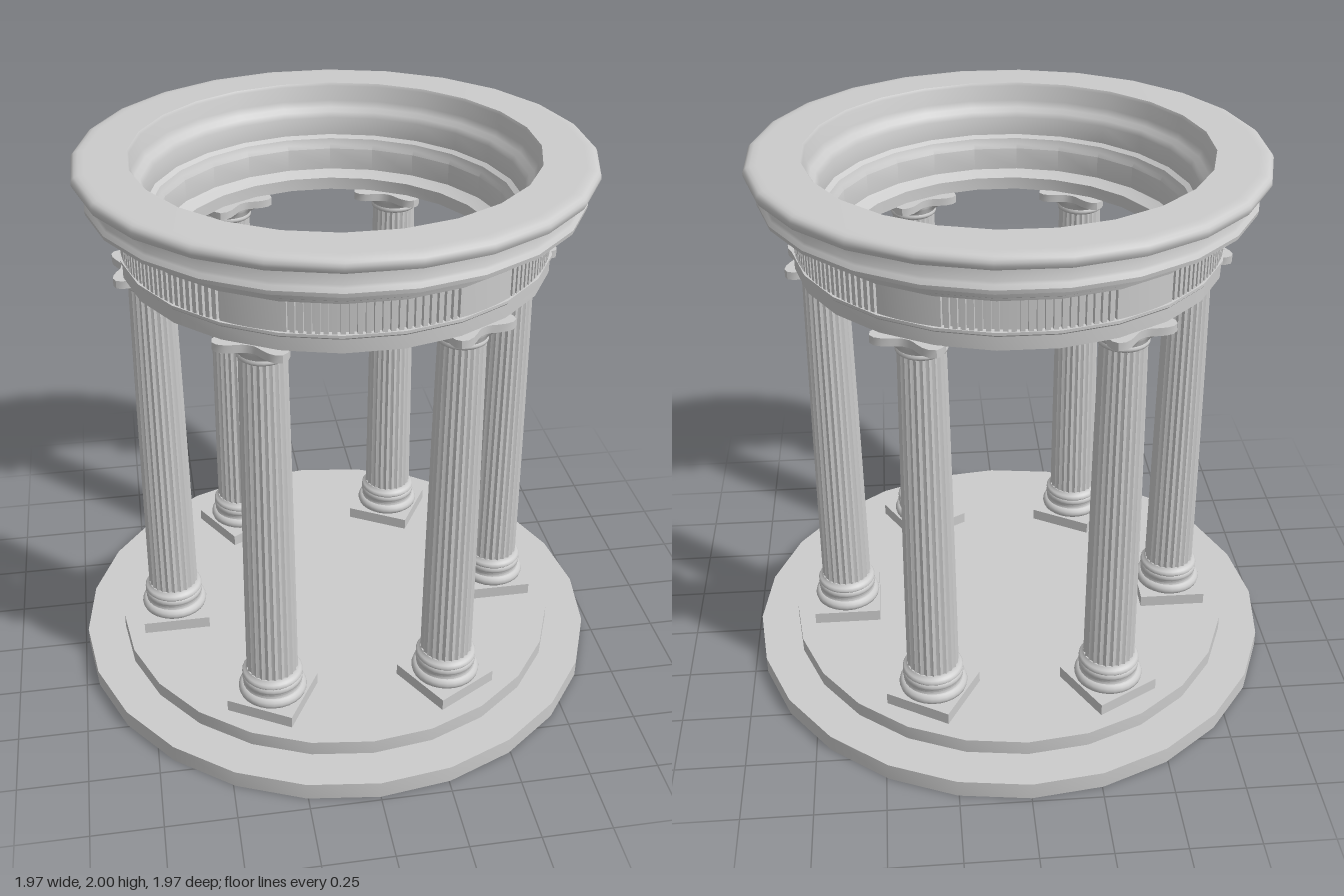
import * as THREE from 'three';
import { toCreasedNormals } from 'three/addons/utils/BufferGeometryUtils.js';

const SIDES = 24;
const stone = new THREE.MeshStandardMaterial({ color: 0xcccccc });

function part(name, geometry, crease = 0.5) {
  const mesh = new THREE.Mesh(toCreasedNormals(geometry, crease), stone);
  mesh.name = name;
  return mesh;
}

// Revolve [radius, height] pairs around the y axis
function lathe(points, sides, start = 0) {
  return new THREE.LatheGeometry(points.map(([r, y]) => new THREE.Vector2(r, y)), sides, start);
}

// Cylinder whose radius follows radiusAt(angle, t), t running 0 to 1 from y0 to y1
function shapedCylinder(y0, y1, sides, rows, radiusAt) {
  const g = new THREE.CylinderGeometry(1, 1, 1, sides, rows);
  const p = g.attributes.position;
  for (let i = 0; i < p.count; i++) {
    const x = p.getX(i), z = p.getZ(i), t = p.getY(i) + 0.5;
    const a = Math.atan2(z, x);
    const r = Math.hypot(x, z) < 0.01 ? 0 : radiusAt(a, t);
    p.setXYZ(i, r * Math.cos(a), y0 + t * (y1 - y0), r * Math.sin(a));
  }
  return g;
}

// Concave-sided square with four horned corners
const abacusRadius = a => 0.096 + 0.071 * Math.abs(Math.sin(2 * a)) ** 3;

function createColumn() {
  const column = new THREE.Group();
  column.name = 'column';

  const plinth = new THREE.BoxGeometry(0.25, 0.05, 0.25).translate(0, 0.14, 0);
  column.add(part('plinth', plinth));

  // Broad lower ring, shallow hollow and narrower upper rings
  column.add(part('columnBase', lathe([
    [0, 0.165], [0.113, 0.165], [0.121, 0.172], [0.124, 0.183], [0.121, 0.194], [0.113, 0.202],
    [0.107, 0.204], [0.104, 0.212], [0.105, 0.22], [0.109, 0.225], [0.11, 0.233], [0.108, 0.241],
    [0.105, 0.244], [0.109, 0.249], [0.109, 0.256], [0.104, 0.263], [0.098, 0.266], [0.093, 0.275], [0, 0.275],
  ], 28), 0.8));

  // Tapering shaft with 24 scalloped flutes
  const shaft = shapedCylinder(0.27, 1.56, 96, 8, (a, t) => {
    const flute = Math.abs(Math.sin(12 * a));
    return (0.093 - 0.008 * t - 0.006 * t * t) * (1 - 0.06 * flute);
  });
  column.add(part('flutedShaft', shaft, 0.35));

  column.add(part('neckRing', lathe([
    [0, 1.545], [0.077, 1.545], [0.084, 1.55], [0.086, 1.558], [0.082, 1.565], [0, 1.565],
  ], 28), 0.8));

  // Round echinus that spreads into horns just under the abacus
  const bell = shapedCylinder(1.56, 1.6, 48, 8, (a, t) =>
    THREE.MathUtils.lerp(0.08 + 0.014 * t, abacusRadius(a) - 0.004, t ** 3));
  column.add(part('capitalBell', bell, 0.8));
  column.add(part('abacus', shapedCylinder(1.598, 1.626, 48, 1, a => abacusRadius(a)), 0.6));
  return column;
}

// Toothed band: groups of upright ribs, with plain panels above the columns
function createFrieze() {
  const shape = new THREE.Shape();
  const points = [];
  const add = (deg, r) => {
    const a = THREE.MathUtils.degToRad(deg);
    points.push(new THREE.Vector2(r * Math.cos(a), r * Math.sin(a)));
  };
  for (let deg = 0; deg < 360; deg += 2) {
    const fromColumn = Math.abs(((deg + 1 + 30) % 60) - 30);
    add(deg, 0.735);
    if (fromColumn > 8) {
      add(deg + 1.2, 0.735);
      add(deg + 1.25, 0.722);
      add(deg + 1.95, 0.722);
    }
  }
  shape.setFromPoints(points);
  const hole = new THREE.Path();
  hole.absarc(0, 0, 0.68, 0, Math.PI * 2, true);
  shape.holes.push(hole);
  const g = new THREE.ExtrudeGeometry(shape, { depth: 0.105, bevelEnabled: false, curveSegments: 24 });
  return part('ribbedFrieze', g.rotateX(-Math.PI / 2).translate(0, 1.688, 0));
}

export function createModel() {
  const model = new THREE.Group();
  model.name = 'roundColonnade';

  // Two-stepped base, hollow beneath the floor
  model.add(part('steppedBase', lathe([
    [0, 0.095], [0.832, 0.095], [0.832, 0], [0.986, 0], [0.986, 0.065],
    [0.84, 0.065], [0.84, 0.12], [0, 0.12],
  ], SIDES)));

  // Six columns in a circle
  for (let i = 0; i < 6; i++) {
    const a = i * Math.PI / 3;
    const column = createColumn();
    column.position.set(0.64 * Math.cos(a), 0, 0.64 * Math.sin(a));
    column.rotation.y = -a;
    model.add(column);
  }

  // Entablature ring: outer face upward, top inward, inner face downward
  model.add(part('entablature', lathe([
    [0.568, 1.625], [0.738, 1.625], [0.738, 1.672], [0.744, 1.678], [0.744, 1.688], [0.722, 1.69],
    [0.722, 1.79], [0.742, 1.793], [0.745, 1.803], [0.762, 1.812], [0.768, 1.832], [0.778, 1.838],
    [0.778, 1.85], [0.828, 1.857], [0.844, 1.864], [0.846, 1.878], [0.838, 1.892], [0.833, 1.9],
    [0.831, 1.942], [0.856, 1.946], [0.873, 1.954], [0.88, 1.968], [0.88, 1.978],
    [0.876, 1.988], [0.868, 1.995], [0.855, 1.999], [0.835, 2],
    [0.692, 2], [0.686, 1.99], [0.684, 1.935], [0.672, 1.912], [0.655, 1.9], [0.645, 1.88],
    [0.645, 1.815], [0.628, 1.805], [0.622, 1.785], [0.612, 1.77], [0.612, 1.69],
    [0.592, 1.68], [0.568, 1.67], [0.568, 1.625],
  ], SIDES, Math.PI / SIDES), 0.6));
  model.add(createFrieze());
  return model;
}
